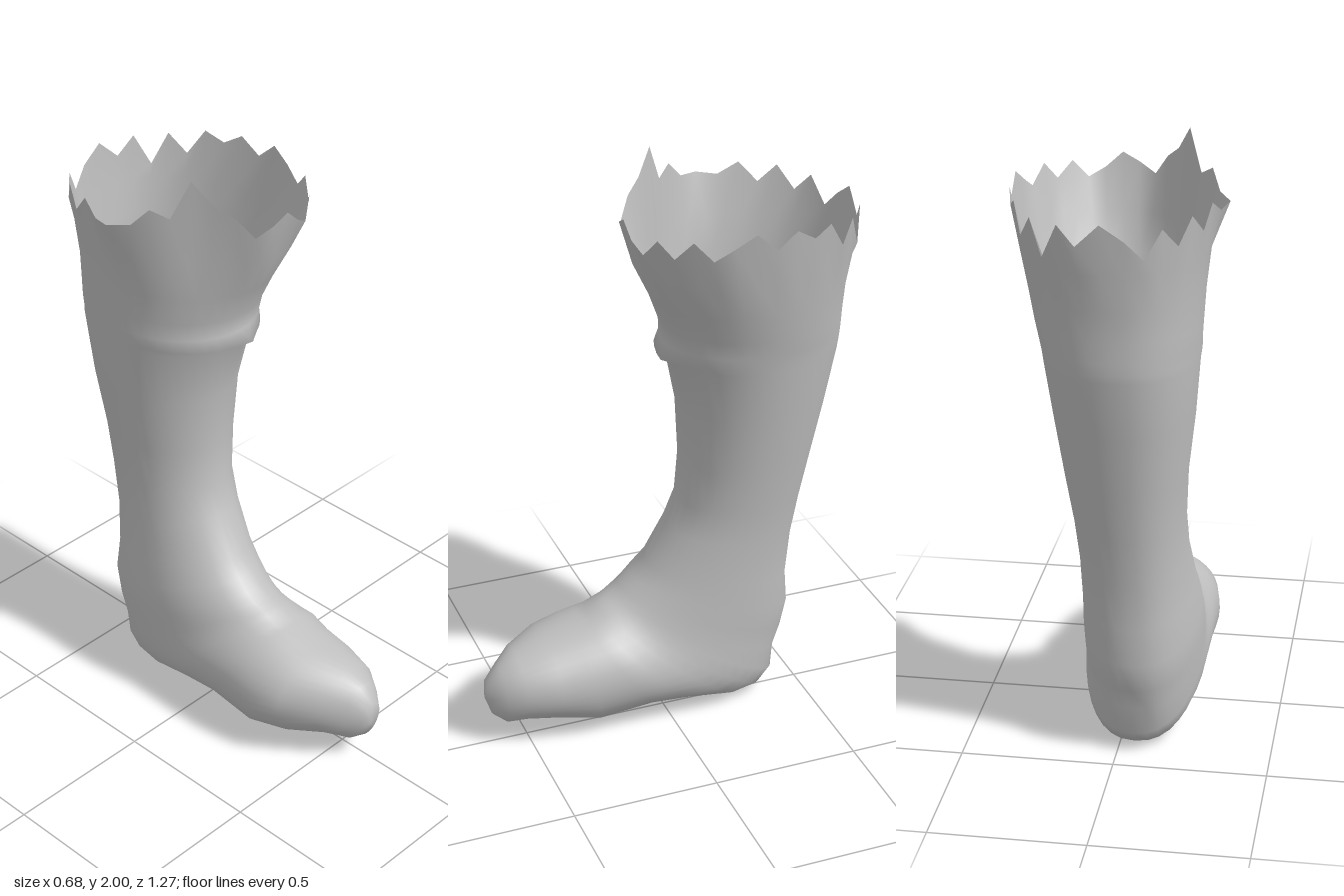
import * as THREE from 'three';

const SEGMENTS = 36;

// Cross-sections from the rim to the toe. Each ring runs from a front/instep
// point (fz, fy) to a back/sole point (bz, by), spanning x0..x1.
// [fz, fy, bz, by, x0, x1]
const SHAFT = [
  [0.155, 1.85, -0.635, 1.85, -0.31, 0.34],
  [0.11, 1.69, -0.625, 1.69, -0.285, 0.31],
  [0.05, 1.57, -0.605, 1.57, -0.27, 0.285],
  [0.01, 1.47, -0.6, 1.47, -0.262, 0.265],
  [0.005, 1.41, -0.6, 1.41, -0.257, 0.252],
  [0.02, 1.37, -0.598, 1.37, -0.254, 0.246],
  [-0.018, 1.345, -0.595, 1.345, -0.251, 0.24],
  [-0.06, 1.15, -0.56, 1.15, -0.235, 0.21],
  [-0.07, 0.95, -0.52, 0.95, -0.212, 0.18],
  [-0.06, 0.8, -0.49, 0.78, -0.205, 0.155],
  [-0.02, 0.7, -0.465, 0.62, -0.21, 0.143],
];
const FOOT = [
  [0.05, 0.57, -0.455, 0.46, -0.23, 0.14],
  [0.1, 0.52, -0.467, 0.34, -0.245, 0.14],
  [0.14, 0.48, -0.447, 0.24, -0.25, 0.14],
  [0.17, 0.46, -0.42, 0.16, -0.25, 0.14],
  [0.19, 0.45, -0.412, 0.07, -0.25, 0.145],
  [0.21, 0.44, -0.365, 0.018, -0.25, 0.15],
  [0.23, 0.43, -0.27, 0.0, -0.252, 0.155],
  [0.26, 0.41, -0.1, 0.03, -0.254, 0.163],
  [0.29, 0.4, 0.05, 0.045, -0.255, 0.168],
  [0.34, 0.385, 0.25, 0.02, -0.255, 0.155],
  [0.42, 0.36, 0.4, 0.06, -0.235, 0.145],
  [0.53, 0.33, 0.51, 0.08, -0.155, 0.115],
  [0.59, 0.29, 0.575, 0.075, -0.095, 0.075],
  [0.635, 0.24, 0.62, 0.11, -0.055, 0.035],
];

// Torn heights around the rim, starting at the front and going to +x
const RIM = [
  1.87, 1.82, 1.79, 1.85, 1.8, 1.86, 1.8, 1.84, 1.88, 1.82, 1.87, 1.83,
  1.86, 1.77, 1.84, 1.73, 1.84, 1.78, 1.85, 1.8, 1.74, 1.83, 1.77, 1.85,
  1.79, 1.86, 1.82, 1.83, 1.84, 1.9, 1.87, 2.0, 1.92, 1.88, 1.81, 1.84,
];

// Local pushes: centre, radius, offset
const DENTS = [
  [[-0.31, 1.83, -0.25], 0.09, [-0.035, 0, 0]], // curled edge on the side
  [[-0.22, 1.8, 0.04], 0.25, [0.03, 0, -0.04]], // flattened front corner
  [[0.04, 1.36, 0.01], 0.06, [0, -0.01, 0.012]], // fold at the shin
  [[-0.05, 0.27, 0.63], 0.05, [0, 0, -0.02]], // dimple in the toe
  [[-0.05, 0.15, -0.42], 0.08, [0, 0, 0.012]], // hollow above the heel
];

function push(p) {
  for (const [centre, radius, offset] of DENTS) {
    const d = p.distanceTo(new THREE.Vector3(...centre)) / radius;
    if (d < 1) p.addScaledVector(new THREE.Vector3(...offset), (1 - d * d) ** 2);
  }
  return p;
}

function ringPoint([fz, fy, bz, by, x0, x1], i, isRim) {
  const a = (i / SEGMENTS) * Math.PI * 2;
  const c = Math.cos(a), s = Math.sin(a);
  // slightly squared sides on the back and sole half
  const side = c < 0 ? Math.sign(s) * Math.abs(s) ** 0.85 : s;
  const t = (1 + c) / 2;
  const lean = 0.05 * THREE.MathUtils.smoothstep(fy, 1.2, 1.8) * t * t;
  const p = new THREE.Vector3(
    (x0 + x1) / 2 + ((x1 - x0) / 2) * side + lean,
    by + (fy - by) * t,
    bz + (fz - bz) * t,
  );
  push(p);
  if (isRim) p.y = RIM[i];
  return p;
}

function bootGeometry() {
  const rings = [...SHAFT, ...FOOT];
  const positions = [], index = [];
  rings.forEach((ring, j) => {
    for (let i = 0; i < SEGMENTS; i++) {
      positions.push(...ringPoint(ring, i, j === 0).toArray());
      if (j === rings.length - 1) continue;
      const n = (i + 1) % SEGMENTS;
      const a = j * SEGMENTS + i, b = j * SEGMENTS + n;
      index.push(a, a + SEGMENTS, b + SEGMENTS, a, b + SEGMENTS, b);
    }
  });
  // close the toe
  const last = (rings.length - 1) * SEGMENTS;
  const tip = positions.length / 3;
  positions.push(-0.02, 0.17, 0.64);
  for (let i = 0; i < SEGMENTS; i++) index.push(last + i, tip, last + ((i + 1) % SEGMENTS));

  const geometry = new THREE.BufferGeometry();
  geometry.setAttribute('position', new THREE.Float32BufferAttribute(positions, 3));
  geometry.setIndex(index);
  geometry.computeVertexNormals();
  return geometry;
}

export function createModel() {
  const grey = new THREE.MeshStandardMaterial({ color: 0xbfbfbf, side: THREE.DoubleSide });
  grey.name = 'grey';

  const model = new THREE.Group();
  model.name = 'boot';
  const shell = new THREE.Mesh(bootGeometry(), grey);
  shell.name = 'bootShell';
  model.add(shell);
  return model;
}
